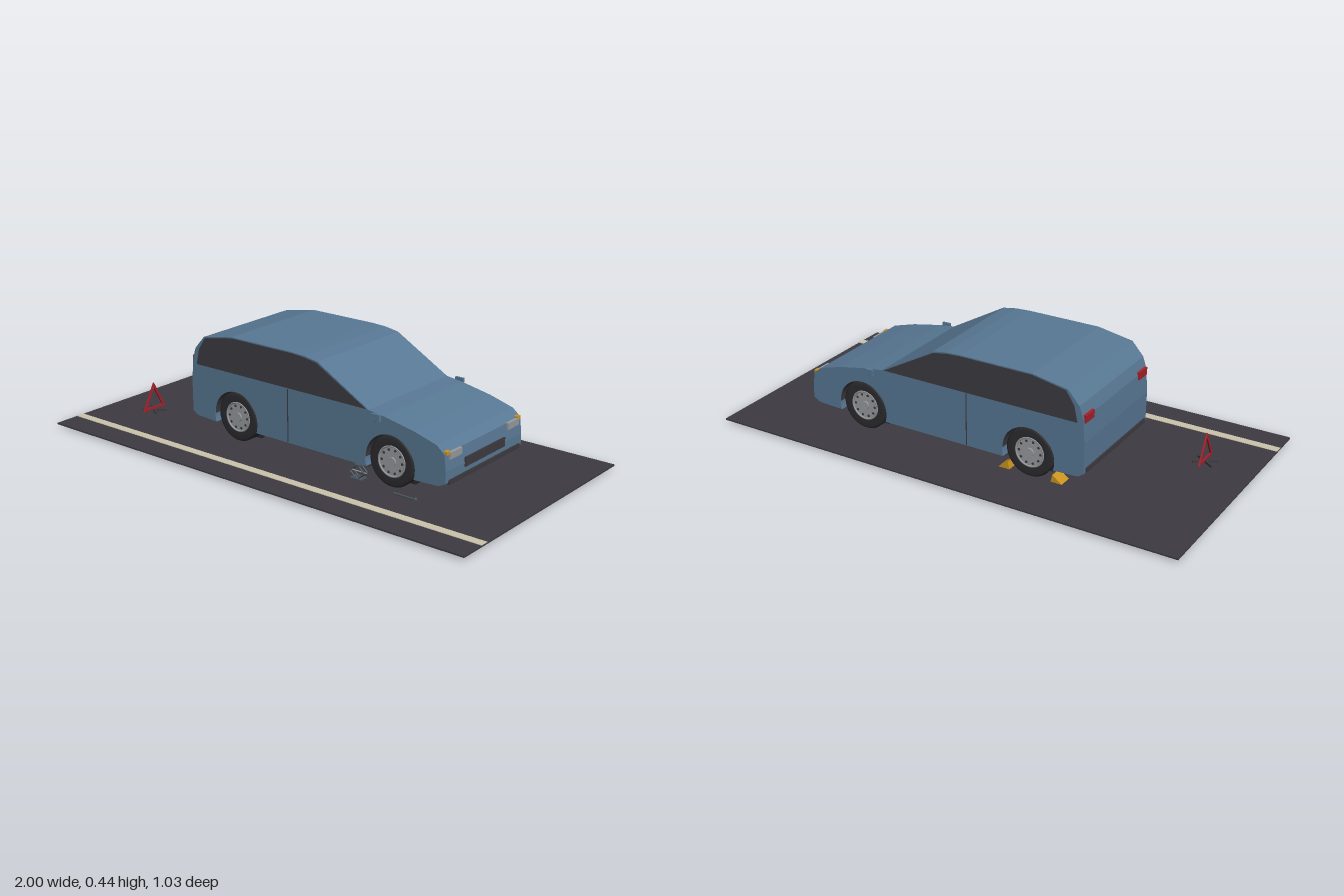
import * as THREE from 'three';

const mat = (name, color, side = THREE.FrontSide) => {
  const m = new THREE.MeshStandardMaterial({ color, side });
  m.name = name;
  return m;
};

export function createModel() {
  const blue = mat('body blue', 0x587894);
  const charcoal = mat('charcoal', 0x3d3b41, THREE.DoubleSide);
  const rubber = mat('rubber black', 0x2c2b2e);
  const silver = mat('silver', 0x989b9e);
  const red = mat('warning red', 0xa8202a);
  const amber = mat('amber', 0xcc9420);
  const cream = mat('road paint', 0xcbc4ac);
  const steel = mat('tool steel', 0x4a5660);

  const root = new THREE.Group();
  const car = new THREE.Group();
  car.name = 'car';
  car.position.z = -0.0445;
  root.add(car);

  const add = (parent, name, geo, material, x = 0, y = 0, z = 0) => {
    const m = new THREE.Mesh(geo, material);
    m.name = name;
    m.position.set(x, y, z);
    parent.add(m);
    return m;
  };
  const box = (parent, name, material, w, h, d, x, y, z) =>
    add(parent, name, new THREE.BoxGeometry(w, h, d), material, x, y, z);
  const extrude = (shape, depth) => {
    const g = new THREE.ExtrudeGeometry(shape, { depth, bevelEnabled: false, curveSegments: 24 });
    return g.translate(0, 0, -depth / 2);
  };
  const poly = (pts) => new THREE.Shape(pts.map(([x, y]) => new THREE.Vector2(x, y)));
  // thin bar between two points
  const bar = (parent, name, material, a, b, r) => {
    const p = new THREE.Vector3(...a), q = new THREE.Vector3(...b), d = q.clone().sub(p);
    const m = add(parent, name, new THREE.CylinderGeometry(r, r, d.length(), 8), material);
    m.position.copy(p).add(q).multiplyScalar(0.5);
    m.quaternion.setFromUnitVectors(new THREE.Vector3(0, 1, 0), d.normalize());
    return m;
  };

  // Road and painted line
  box(root, 'road', charcoal, 2, 0.006, 1.03, 0, 0.013, 0);
  box(root, 'roadLine', cream, 2, 0.002, 0.035, 0, 0.017, 0.393);

  // Body: side profile with round wheel arches
  const HALF = 0.2525;
  const wheelX = [0.469, -0.284];
  const body = poly([
    [-0.495, 0.08], [-0.517, 0.096], [-0.518, 0.22], [-0.511, 0.316], [-0.495, 0.364],
    [-0.447, 0.418], [-0.3, 0.444], [0.008, 0.444], [0.07, 0.441], [0.131, 0.431],
    [0.37, 0.296], [0.44, 0.287], [0.57, 0.262], [0.672, 0.233], [0.706, 0.205],
    [0.714, 0.14], [0.714, 0.095], [0.685, 0.08],
  ]);
  for (const x of wheelX) {
    body.lineTo(x + 0.1064, 0.075);
    body.absarc(x, 0.11, 0.112, -0.318, Math.PI + 0.318, false);
  }
  add(car, 'body', extrude(body, HALF * 2), blue);
  box(car, 'floorPan', charcoal, 0.53, 0.012, 0.46, 0.0925, 0.069, 0);

  // Side glass outline
  const glass = poly([
    [-0.488, 0.298], [0.36, 0.298], [0.128, 0.426], [0.07, 0.436], [0.008, 0.44],
    [-0.3, 0.44], [-0.44, 0.414], [-0.474, 0.362],
  ]);

  // Wheel geometry, axle along z
  const tireGeo = new THREE.LatheGeometry([
    [0.06, -0.03], [0.09, -0.033], [0.1, -0.026], [0.1, -0.013], [0.096, -0.011],
    [0.1, -0.009], [0.1, 0.009], [0.096, 0.011], [0.1, 0.013], [0.1, 0.026],
    [0.09, 0.033], [0.06, 0.03],
  ].map(([r, y]) => new THREE.Vector2(r, y)), 40);
  const disc = (r, h) => new THREE.CylinderGeometry(r, r, h, 32).rotateX(Math.PI / 2);
  tireGeo.rotateX(Math.PI / 2);

  for (const s of [1, -1]) {
    add(car, 'sideWindows', extrude(glass, 0.004), charcoal, 0, 0, s * (HALF + 0.001));
    box(car, 'doorSeam', charcoal, 0.004, 0.215, 0.003, -0.015, 0.186, s * HALF);

    // Mirrors
    box(car, 'mirrorArm', steel, 0.012, 0.008, 0.026, 0.415, 0.272, s * 0.261);
    box(car, 'mirror', blue, 0.036, 0.026, 0.01, 0.418, 0.283, s * 0.27);

    // Lamps
    box(car, 'headlight', silver, 0.016, 0.026, 0.076, 0.708, 0.194, s * 0.192);
    box(car, 'turnSignal', amber, 0.02, 0.014, 0.022, 0.702, 0.206, s * 0.234);
    box(car, 'tailLight', red, 0.014, 0.03, 0.065, -0.511, 0.313, s * 0.212);

    for (const x of wheelX) {
      // Wheel well
      add(car, 'wheelWellBack', disc(0.11, 0.003), rubber, x, 0.11, s * 0.166);
      const liner = new THREE.CylinderGeometry(0.111, 0.111, 0.084, 32, 1, true, Math.PI / 2, Math.PI);
      add(car, 'wheelWellLiner', liner.rotateX(Math.PI / 2), charcoal, x, 0.11, s * 0.209);

      // Wheel
      const wheel = new THREE.Group();
      wheel.name = 'wheel';
      wheel.position.set(x, 0.115, s * 0.21);
      car.add(wheel);
      add(wheel, 'tire', tireGeo, rubber);
      add(wheel, 'rim', disc(0.06, 0.056), silver);
      add(wheel, 'rimEdge', new THREE.TorusGeometry(0.059, 0.004, 6, 32), silver, 0, 0, s * 0.029);
      add(wheel, 'hubCap', disc(0.018, 0.008), silver, 0, 0, s * 0.03);
      for (let i = 0; i < 10; i++) {
        const a = (i / 10) * Math.PI * 2;
        add(wheel, 'rimHole', disc(0.005, 0.003), charcoal,
          Math.cos(a) * 0.046, Math.sin(a) * 0.046, s * 0.0285);
      }
    }
  }

  // Grille and bumper strips
  box(car, 'grille', charcoal, 0.012, 0.036, 0.264, 0.712, 0.142, 0);
  box(car, 'frontBumperStrip', charcoal, 0.012, 0.018, 0.47, 0.714, 0.096, 0);
  box(car, 'rearBumperStrip', charcoal, 0.012, 0.018, 0.47, -0.517, 0.106, 0);

  // Wheel chocks at one rear wheel
  for (const s of [1, -1]) {
    const wedge = poly(s > 0
      ? [[-0.195, 0.016], [-0.147, 0.016], [-0.188, 0.046]]
      : [[-0.42, 0.016], [-0.373, 0.016], [-0.38, 0.046]]);
    add(root, 'wheelChock', extrude(wedge, 0.055), amber, 0, 0, -0.254);
  }

  // Warning triangle with a crossed foot
  const tri = poly([[-0.062, 0.024], [0.062, 0.024], [0, 0.14]]);
  tri.holes.push(new THREE.Path([[-0.044, 0.034], [0, 0.119], [0.044, 0.034]]
    .map(([x, y]) => new THREE.Vector2(x, y))));
  add(root, 'warningTriangle', extrude(tri, 0.006).rotateY(Math.PI / 2), red, -0.798, 0, 0.157);
  for (const s of [1, -1]) {
    const foot = box(root, 'triangleFoot', charcoal, 0.1, 0.008, 0.01, -0.798, 0.02, 0.157);
    foot.rotation.y = s * 0.6;
  }

  // Scissor jack
  const jack = new THREE.Group();
  jack.name = 'scissorJack';
  jack.position.set(0.325, 0, 0.205);
  root.add(jack);
  box(jack, 'jackBase', steel, 0.05, 0.005, 0.04, 0, 0.0185, 0);
  box(jack, 'jackPad', steel, 0.026, 0.006, 0.024, 0, 0.07, 0);
  for (const s of [1, -1]) for (const z of [-0.009, 0.009]) {
    bar(jack, 'jackLowerArm', steel, [s * 0.008, 0.021, z], [s * 0.034, 0.044, z], 0.003);
    bar(jack, 'jackUpperArm', steel, [s * 0.008, 0.067, z], [s * 0.034, 0.044, z], 0.003);
  }
  bar(jack, 'jackScrew', silver, [-0.038, 0.044, 0], [0.038, 0.044, 0], 0.0025);

  // Wheel wrench lying on the road
  bar(root, 'wrenchHandle', steel, [0.517, 0.021, 0.245], [0.618, 0.021, 0.245], 0.004);
  bar(root, 'wrenchSocket', steel, [0.612, 0.022, 0.24], [0.612, 0.022, 0.255], 0.006);
  return root;
}
